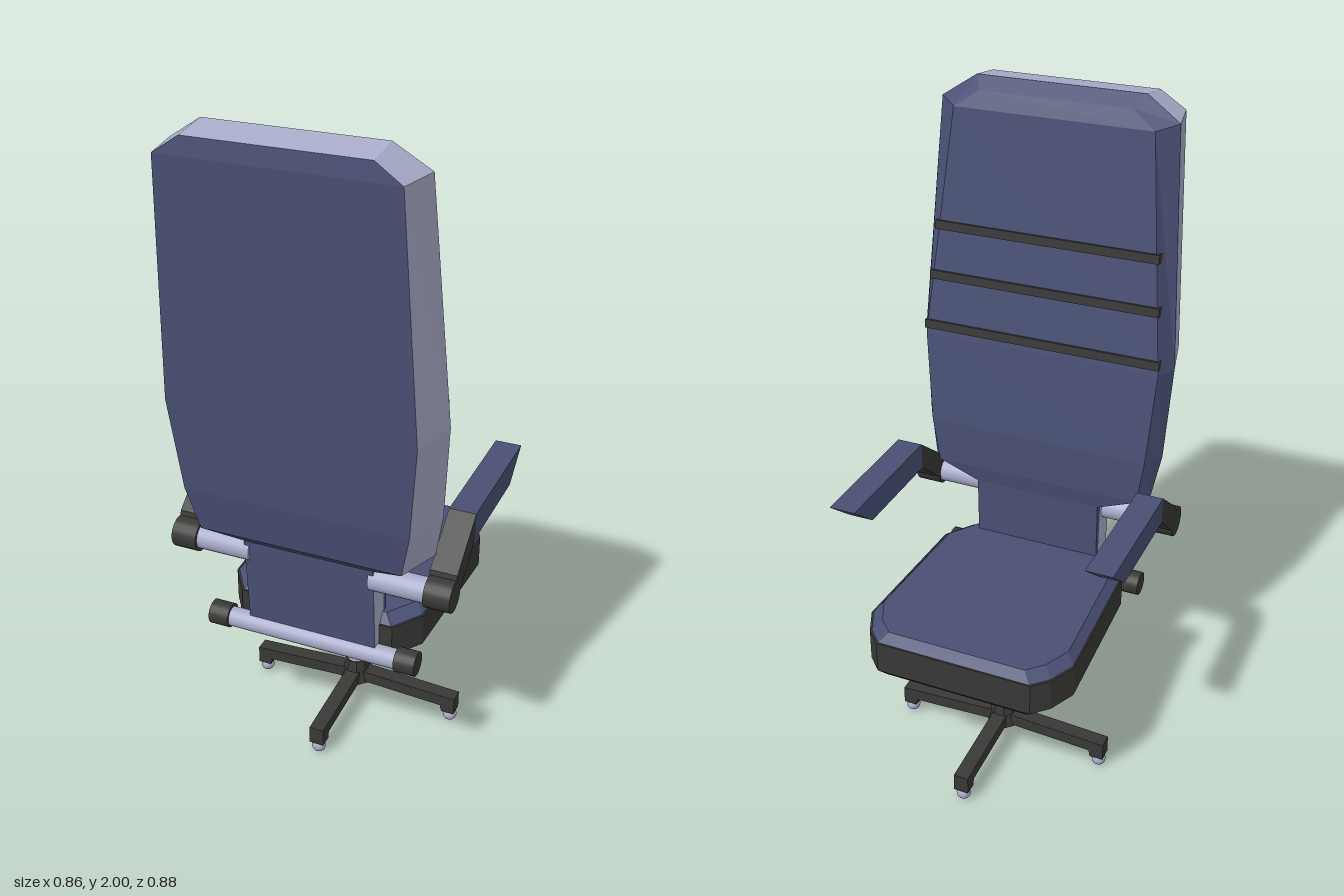
import * as THREE from 'three';

const mat = (name, color) => {
  const m = new THREE.MeshStandardMaterial({ color });
  m.name = name;
  return m;
};

// Half outlines [x, y, z]; each is mirrored in x to make a full ring.
const BACK_REAR = [[.25, 1.985, .435], [.325, 1.935, .44], [.36, 1.245, .40], [.335, .96, .373],
  [.305, .82, .347], [.2, .77, .29], [.2, .487, .27]];
const BACK_MID = [[.25, 2, .325], [.35, 1.935, .31], [.395, 1.245, .25], [.38, .96, .235],
  [.355, .82, .215], [.2, .77, .21], [.2, .487, .205]];
const BACK_FRONT = [[.225, 1.967, .285], [.295, 1.92, .265], [.365, 1.245, .19], [.345, .96, .172],
  [.325, .82, .175], [.2, .765, .185], [.2, .487, .19]];

// Joins half outlines into a faceted skin, with optional end caps.
function loft(halves, capFirst, capLast) {
  const pos = [];
  const quad = (a, b, c, d) => pos.push(...a, ...b, ...c, ...a, ...c, ...d);
  const mirror = ([x, y, z]) => [-x, y, z];
  const rings = halves.map(h => [...h, ...h.map(mirror).reverse()]);
  for (let r = 0; r < rings.length - 1; r++) {
    const A = rings[r], B = rings[r + 1];
    for (let i = 0; i < A.length; i++) {
      const j = (i + 1) % A.length;
      quad(A[i], A[j], B[j], B[i]);
    }
  }
  const cap = (h, flip) => {
    for (let k = 0; k < h.length - 1; k++) {
      const q = [h[k], h[k + 1], mirror(h[k + 1]), mirror(h[k])];
      quad(...(flip ? q.reverse() : q));
    }
  };
  if (capFirst) cap(halves[0], true);
  if (capLast) cap(halves[halves.length - 1], false);
  const g = new THREE.BufferGeometry();
  g.setAttribute('position', new THREE.Float32BufferAttribute(pos, 3));
  g.computeVertexNormals();
  return g;
}

// Side profile [z, y] extruded along x, starting at x0.
function sideExtrude(points, x0, width) {
  const shape = new THREE.Shape(points.map(([z, y]) => new THREE.Vector2(-z, y)));
  const g = new THREE.ExtrudeGeometry(shape, { depth: width, bevelEnabled: false });
  return g.rotateY(Math.PI / 2).translate(x0, 0, 0);
}

const tubeX = (r, x0, x1, y, z) =>
  new THREE.CylinderGeometry(r, r, x1 - x0, 20).rotateZ(Math.PI / 2).translate((x0 + x1) / 2, y, z);

function faceted(rTop, rBottom, y0, y1, sides) {
  const g = new THREE.CylinderGeometry(rTop, rBottom, y1 - y0, sides)
    .rotateY(Math.PI / sides).translate(0, (y0 + y1) / 2, 0).toNonIndexed();
  g.computeVertexNormals();
  return g;
}

export function createModel() {
  const blue = mat('navy upholstery', 0x4a5075);
  const dark = mat('charcoal plastic', 0x383836);
  const light = mat('pale metal', 0xa9adca);

  const chair = new THREE.Group();
  chair.name = 'officeChair';
  const add = (name, geometry, material, parent = chair) => {
    const m = new THREE.Mesh(geometry, material);
    m.name = name;
    parent.add(m);
    return m;
  };

  // Backrest: rear panel, pale rim and bevelled front cushion
  add('backrestRearPanel', loft([BACK_REAR], true, false), blue);
  add('backrestRim', loft([BACK_REAR, BACK_MID], false, false), light);
  add('backrestCushion', loft([BACK_MID, BACK_FRONT], false, true), blue);

  // Three strips across the cushion
  for (const y of [1.275, 1.43, 1.58]) {
    const half = .37 - .09 * (y - 1.245);
    const strip = add('backrestStrip', new THREE.BoxGeometry(half * 2, .026, .034), dark);
    strip.position.set(0, y, .198 + .111 * (y - 1.245));
    strip.rotation.x = .11;
  }

  // Seat: tray below, bevelled cushion above
  const seatRing = (y, inset) => [[.24, -.435], [.285, -.39], [.322, -.31], [.302, .15], [.24, .24]]
    .map(([x, z]) => [x - inset, y, z + (z < 0 ? inset : -inset)]);
  add('seatTray', loft([seatRing(.555, 0), seatRing(.455, 0), seatRing(.432, .02)], true, true), dark);
  add('seatCushion', loft([seatRing(.583, .028), seatRing(.553, .003)], true, false), blue);

  // Lower hinge bar
  add('hingeBar', tubeX(.03, -.27, .27, .465, .26), light);

  for (const side of [-1, 1]) {
    const span = (a, b) => side > 0 ? [a, b] : [-b, -a];
    add('hingeCap', tubeX(.037, ...span(.265, .328), .467, .26), dark);

    // Armrest: metal stub, pivot, rising arm and pad
    const arm = new THREE.Group();
    arm.name = side > 0 ? 'leftArmrest' : 'rightArmrest';
    chair.add(arm);
    add('armStub', tubeX(.038, ...span(.185, .36), .73, .26), light, arm);
    add('armPivot', tubeX(.047, ...span(.352, .43), .73, .26), dark, arm);
    const x0 = side > 0 ? .35 : -.43;
    add('armBracket', sideExtrude([[.1, .905], [.1, .822], [.225, .715], [.26, .73], [.245, .79]],
      x0, .08), dark, arm);
    add('armPad', sideExtrude([[.1, .905], [-.325, .905], [-.225, .822], [.1, .822]], x0, .08), blue, arm);
  }

  // Pedestal and four-legged base
  const base = new THREE.Group();
  base.name = 'base';
  base.position.set(-.003, 0, -.08);
  chair.add(base);
  add('mechanismUpper', faceted(.133, .13, .365, .435, 8), dark, base);
  add('mechanismLower', faceted(.095, .08, .32, .366, 8), dark, base);
  add('gasColumn', new THREE.CylinderGeometry(.024, .03, .19, 16).translate(0, .23, 0), light, base);
  add('baseHub', faceted(.034, .05, .07, .15, 8), dark, base);

  const legProfile = [[0, .12], [.05, .112], [.345, .097], [.345, .04], [.303, .04], [.298, .062], [0, .077]];
  for (let i = 0; i < 4; i++) {
    const leg = new THREE.Group();
    leg.name = 'baseLeg';
    leg.rotation.y = i * Math.PI / 2;
    if (i % 2 === 0) leg.scale.z = .93;
    base.add(leg);
    add('legBeam', sideExtrude(legProfile, -.023, .046), dark, leg);
    add('caster', new THREE.SphereGeometry(.022, 14, 10).translate(0, .022, .325), light, leg);
    add('casterStem', new THREE.CylinderGeometry(.016, .016, .03, 10).translate(0, .035, .325), light, leg);
  }
  return chair;
}
